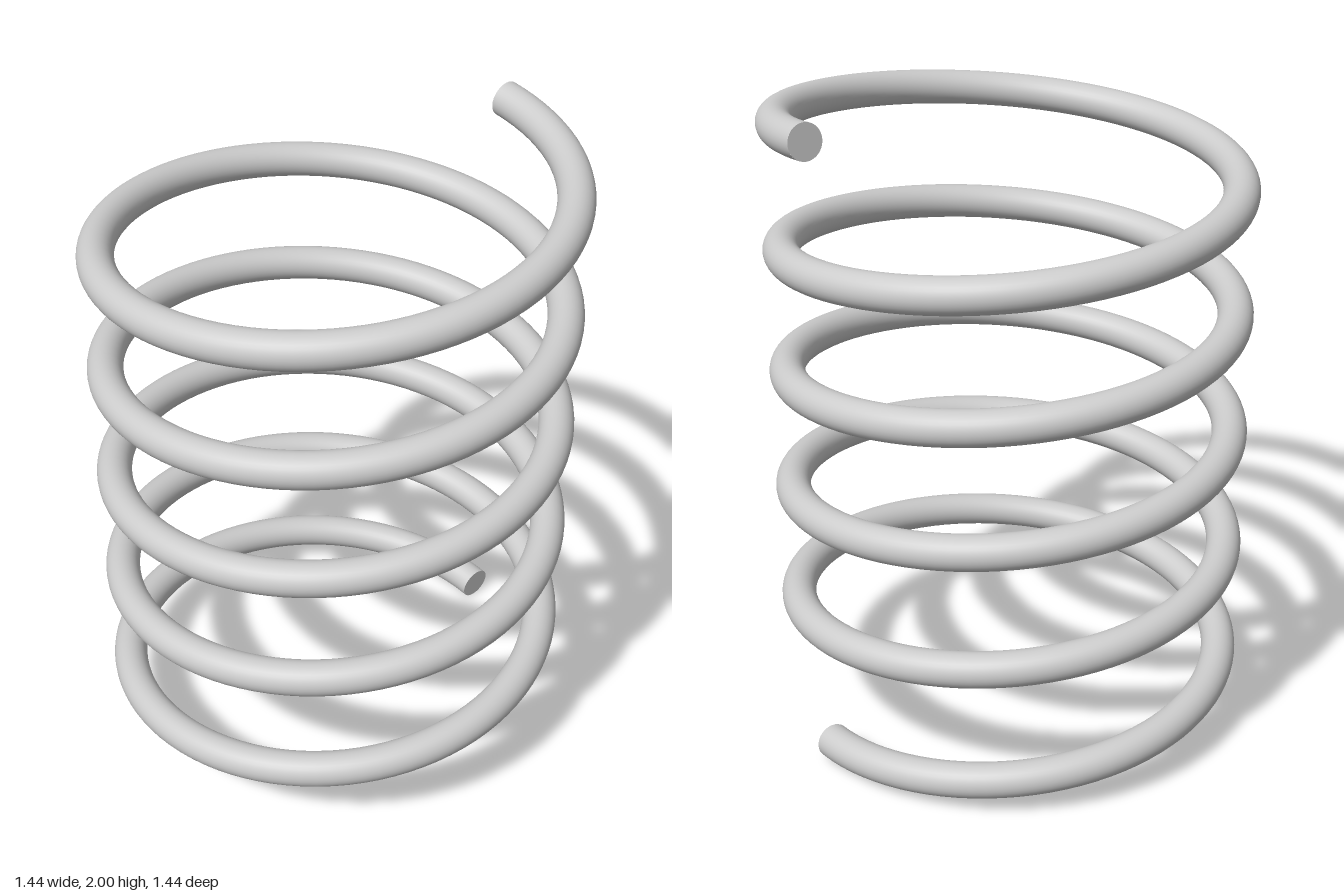
import * as THREE from 'three';

const TURNS = 5;
const COIL_RADIUS = 0.668;
const WIRE_RADIUS = 0.053;
const BOTTOM = 0.053;
const TOP = 1.947;

// Helix that starts at +x and climbs round through the back
class Helix extends THREE.Curve {
  getPoint(t, target = new THREE.Vector3()) {
    const a = t * TURNS * Math.PI * 2;
    return target.set(
      COIL_RADIUS * Math.cos(a),
      BOTTOM + (TOP - BOTTOM) * t,
      -COIL_RADIUS * Math.sin(a)
    );
  }

  getTangent(t, target = new THREE.Vector3()) {
    const w = TURNS * Math.PI * 2;
    const a = t * w;
    return target.set(
      -COIL_RADIUS * w * Math.sin(a),
      TOP - BOTTOM,
      -COIL_RADIUS * w * Math.cos(a)
    ).normalize();
  }
}

export function createModel() {
  const group = new THREE.Group();
  group.name = 'coilSpring';
  const material = new THREE.MeshStandardMaterial({ color: 0xcccccc });
  const helix = new Helix();

  // Round wire
  const wire = new THREE.Mesh(new THREE.TubeGeometry(helix, 480, WIRE_RADIUS, 32, false), material);
  wire.name = 'coilWire';
  group.add(wire);

  // Flat cut ends, square to the wire and facing outwards
  for (const [name, t, sign] of [['lowerEnd', 0, -1], ['upperEnd', 1, 1]]) {
    const cap = new THREE.Mesh(new THREE.CircleGeometry(WIRE_RADIUS, 32), material);
    cap.name = name;
    cap.position.copy(helix.getPoint(t));
    const outward = helix.getTangent(t).multiplyScalar(sign);
    cap.quaternion.setFromUnitVectors(new THREE.Vector3(0, 0, 1), outward);
    group.add(cap);
  }

  return group;
}
